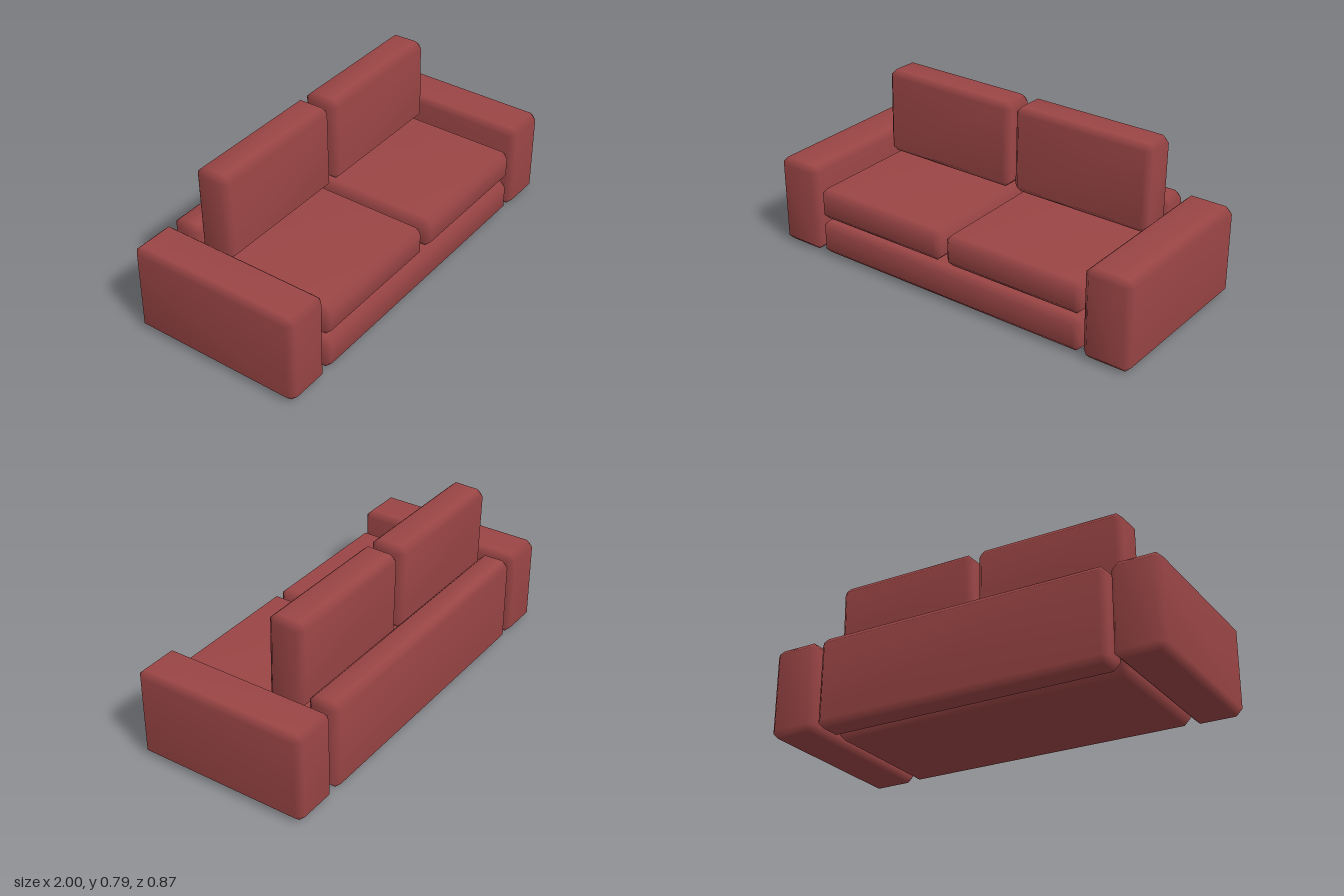
import * as THREE from 'three';
import { mergeVertices } from 'three/addons/utils/BufferGeometryUtils.js';
import { ConvexGeometry } from 'three/addons/geometries/ConvexGeometry.js';

const fabric = new THREE.MeshStandardMaterial({ color: 0x9b4545 });

// Box with single-cut chamfers on every edge and softly blended normals
function chamferedBox(w, h, d, c) {
  const half = [w / 2, h / 2, d / 2];
  const points = [];
  for (const sx of [-1, 1]) for (const sy of [-1, 1]) for (const sz of [-1, 1]) {
    for (let axis = 0; axis < 3; axis++) {
      const p = half.map((v, i) => (i === axis ? v : v - c));
      points.push(new THREE.Vector3(sx * p[0], sy * p[1], sz * p[2]));
    }
  }
  const hull = new ConvexGeometry(points);
  hull.deleteAttribute('normal');
  const geometry = mergeVertices(hull);
  geometry.computeVertexNormals();
  return geometry;
}

// Upholstered block given by its extents on each axis
function block(name, [x0, x1], [y0, y1], [z0, z1], chamfer = 0.031) {
  const mesh = new THREE.Mesh(chamferedBox(x1 - x0, y1 - y0, z1 - z0, chamfer), fabric);
  mesh.name = name;
  mesh.position.set((x0 + x1) / 2, (y0 + y1) / 2, (z0 + z1) / 2);
  return mesh;
}

export function createModel() {
  const sofa = new THREE.Group();
  sofa.name = 'sofa';

  // Base and low back panel
  sofa.add(block('base', [-0.753, 0.748], [0.003, 0.175], [-0.257, 0.432]));
  sofa.add(block('backPanel', [-0.745, 0.738], [0, 0.449], [-0.437, -0.28]));

  // Arms
  sofa.add(block('rightArm', [-1, -0.764], [0, 0.447], [-0.437, 0.437]));
  sofa.add(block('leftArm', [0.76, 1], [0, 0.447], [-0.437, 0.437]));

  // Seat and back cushions, the back ones leaning slightly
  const sides = [['right', [-0.753, -0.016]], ['left', [0.011, 0.748]]];
  for (const [side, x] of sides) {
    sofa.add(block(`${side}SeatCushion`, x, [0.19, 0.348], [-0.257, 0.432]));
    const back = block(`${side}BackCushion`, x, [0.358, 0.79], [-0.27, -0.087]);
    back.rotation.x = -0.022;
    sofa.add(back);
  }
  return sofa;
}
